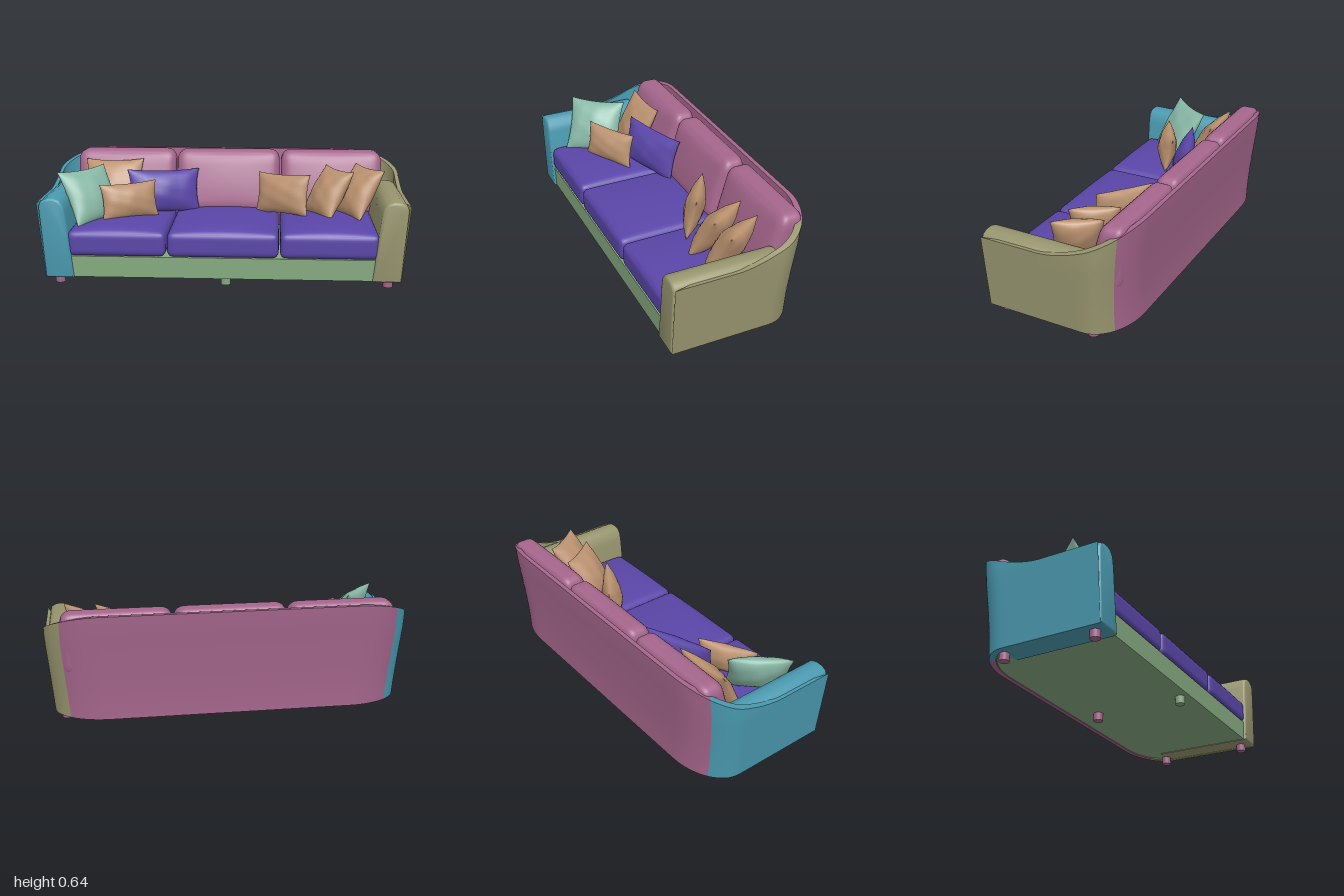
import * as THREE from 'three';
import { mergeGeometries, mergeVertices, toCreasedNormals } from 'three/addons/utils/BufferGeometryUtils.js';

const { clamp, lerp } = THREE.MathUtils;
const PINK = 0xa5668c, PURPLE = 0x5a46a8, GREEN = 0x85a97f, BLUE = 0x4a9ab0;
const OLIVE = 0x98966f, TAN = 0xbb9270, TEAL = 0x88b8a5;

function part(group, name, geometry, color, doubleSided = false) {
  const material = new THREE.MeshStandardMaterial({ color });
  if (doubleSided) material.side = THREE.DoubleSide;
  const mesh = new THREE.Mesh(geometry, material);
  mesh.name = name;
  group.add(mesh);
  return mesh;
}

// Weld a geometry and give it smooth normals
function smooth(geometry) {
  geometry.deleteAttribute('uv');
  geometry.deleteAttribute('normal');
  const welded = mergeVertices(geometry, 1e-5);
  welded.computeVertexNormals();
  return welded;
}

function warp(geometry, rule) {
  const p = geometry.attributes.position, v = new THREE.Vector3();
  for (let i = 0; i < p.count; i++) {
    rule(v.fromBufferAttribute(p, i));
    p.setXYZ(i, v.x, v.y, v.z);
  }
  return geometry;
}

// Box with rounded edges; "bulge" then receives the point and its -1..1 coordinates
function softBox(w, h, d, r, bulge) {
  const half = new THREE.Vector3(w, h, d).multiplyScalar(0.5);
  const inner = half.clone().subScalar(r), q = new THREE.Vector3(), n = new THREE.Vector3();
  return smooth(warp(new THREE.BoxGeometry(2, 2, 2, 24, 16, 16), (v) => {
    n.set(...v.toArray().map((t) => Math.sin(t * Math.PI / 2)));
    v.copy(n).multiply(half);
    q.copy(v).clamp(inner.clone().negate(), inner);
    v.sub(q).setLength(r).add(q);
    bulge(v, n);
  }));
}

// Throw pillow: two domed faces, pinched sides and pointed corners
function pillowGeometry(w, h, t) {
  const face = (side) => warp(new THREE.PlaneGeometry(2, 2, 20, 20), (v) => {
    const a = Math.sin(v.x * Math.PI / 2), b = Math.sin(v.y * Math.PI / 2);
    const dome = Math.pow(Math.max(0, (1 - a * a) * (1 - b * b)), 0.55);
    const crease = 1 + 0.07 * Math.sin(7 * a + 4 * b) * Math.sin(5 * b - 2 * a);
    v.set(a * w / 2 * (1 - 0.09 * (1 - b * b)), b * h / 2 * (1 - 0.09 * (1 - a * a)), side * t / 2 * dome * crease);
  });
  const front = face(1), back = face(-1);
  const index = back.index.array;
  for (let i = 0; i < index.length; i += 3) [index[i], index[i + 1]] = [index[i + 1], index[i]];
  return smooth(mergeGeometries([front, back]));
}

// U-shaped plan: u = -1 right front, 0 centre of the back, 1 left front
function plan(u, W, B) {
  const s = 1 - Math.abs(u), side = u < 0 ? -1 : 1;
  if (s < 0.4) return [side * W, lerp(0.395, B + 0.2, s / 0.4)];
  if (s < 0.8) {
    const a = (s - 0.4) / 0.4 * Math.PI / 2;
    return [side * (W - 0.3 + 0.3 * Math.cos(a)), B + 0.2 - 0.2 * Math.sin(a)];
  }
  return [side * lerp(W - 0.3, 0, (s - 0.8) / 0.2), B];
}

function shellPoint(u, v, inset) {
  const rise = clamp((0.05 - plan(u, 1, -0.4)[1]) / 0.45, 0, 1);
  const y = lerp(0.04, 0.46 + 0.172 * Math.pow(rise, 1.7), v);
  const W = 0.965 + 0.035 * clamp((y - 0.04) / 0.42, 0, 1) - inset;
  const B = -0.36 - 0.04 * Math.pow(clamp((y - 0.12) / 0.48, 0, 1), 1.4) + inset;
  const [x, z] = plan(u, W, B);
  return [x, y, z];
}

// Thin wall swept along part of the U, tapering to an edge at the front
function shellGeometry(u0, u1, steps) {
  const rows = 10, ring = 2 * (rows + 1), pos = [], idx = [];
  for (let i = 0; i <= steps; i++) {
    const u = lerp(u0, u1, i / steps);
    const thick = 0.025 * Math.min(1, (1 - Math.abs(u)) * 12);
    for (let j = 0; j <= rows; j++) pos.push(...shellPoint(u, j / rows, 0));
    for (let j = rows; j >= 0; j--) pos.push(...shellPoint(u, j / rows, thick));
  }
  for (let i = 0; i < steps; i++) for (let j = 0; j < ring; j++) {
    const a = i * ring + j, b = i * ring + (j + 1) % ring;
    idx.push(a, b, a + ring, b, b + ring, a + ring);
  }
  const g = new THREE.BufferGeometry();
  g.setAttribute('position', new THREE.Float32BufferAttribute(pos, 3));
  g.setIndex(idx);
  return toCreasedNormals(g, 0.7);
}

export function createModel() {
  const sofa = new THREE.Group();
  sofa.name = 'sofa';

  // Outer shell: two sides and the back
  part(sofa, 'rightShell', shellGeometry(-1, -0.4, 36), BLUE, true);
  part(sofa, 'backShell', shellGeometry(-0.4, 0.4, 40), PINK, true);
  part(sofa, 'leftShell', shellGeometry(0.4, 1, 36), OLIVE, true);

  // Padded arms, narrowing upwards
  const armProfile = [[0.963, 0.042], [0.81, 0.042], [0.832, 0.25], [0.848, 0.41], [0.858, 0.45],
    [0.878, 0.475], [0.91, 0.485], [0.95, 0.482], [0.977, 0.468], [0.99, 0.44]];
  for (const side of [-1, 1]) {
    const shape = new THREE.Shape(armProfile.map(([x, y]) => new THREE.Vector2(side * x, y)));
    const g = new THREE.ExtrudeGeometry(shape, {
      depth: 0.56, bevelThickness: 0.016, bevelSize: 0.012, bevelOffset: -0.012, bevelSegments: 3,
    });
    g.translate(0, 0, -0.176);
    part(sofa, side < 0 ? 'rightArm' : 'leftArm', toCreasedNormals(g, 0.8), side < 0 ? BLUE : OLIVE);
  }

  // Base following the plan of the shell
  const outline = [];
  for (let i = 0; i <= 60; i++) {
    const [x, z] = plan(i / 30 - 1, 0.935, -0.335);
    outline.push(new THREE.Vector2(x, -Math.min(z, 0.385)));
  }
  const base = new THREE.ExtrudeGeometry(new THREE.Shape(outline), { depth: 0.117, bevelEnabled: false });
  base.rotateX(-Math.PI / 2).translate(0, 0.045, 0);
  part(sofa, 'base', toCreasedNormals(base, 0.6), GREEN);

  // Legs
  for (const z of [0.33, -0.19]) for (const x of [-0.9, 0.017, 0.9]) {
    const color = x === 0.017 && z > 0 ? GREEN : PINK;
    part(sofa, 'leg', new THREE.CylinderGeometry(0.027, 0.027, 0.05, 20), color).position.set(x, 0.025, z);
  }

  // Seat cushions with crowned tops
  const seatEdges = [-0.85, -0.305, 0.308, 0.85];
  // Back cushions, leaning back and thinner at the top
  const backEdges = [-0.9, -0.307, 0.312, 0.912];
  for (let i = 0; i < 3; i++) {
    const sw = seatEdges[i + 1] - seatEdges[i], bw = backEdges[i + 1] - backEdges[i];
    const seat = softBox(sw - 0.006, 0.14, 0.62, 0.035, (v, n) => {
      if (v.y > 0) v.y += 0.03 * (1 - n.x * n.x) * (1 - Math.pow(n.z, 4));
    });
    part(sofa, 'seatCushion', seat, PURPLE).position.set((seatEdges[i] + seatEdges[i + 1]) / 2, 0.23, 0.08);
    const back = softBox(bw - 0.008, 0.36, 0.2, 0.06, (v, n) => {
      const t = v.y / 0.36 + 0.5;
      if (v.z > 0) v.z += 0.02 * (1 - n.x * n.x) * (1 - n.y * n.y);
      v.z = v.z * (1.02 - 0.37 * t) - 0.235 - 0.065 * t;
    });
    part(sofa, 'backCushion', back, PINK).position.set((backEdges[i] + backEdges[i + 1]) / 2, 0.458, 0);
  }

  // Throw pillows: colour, centre, width direction, height direction, size
  const pillows = [
    [TEAL, [-0.755, 0.445, 0.125], [0.2, 0, -0.25], [-0.12, 0.27, -0.1], 0.34, 0.33, 0.13],
    [TAN, [-0.665, 0.45, -0.115], [1, 0, -0.03], [0, 0.29, -0.15], 0.34, 0.33, 0.12],
    [PURPLE, [-0.365, 0.425, -0.085], [0.4, -0.015, -0.14], [0, 0.25, -0.07], 0.43, 0.26, 0.12],
    [TAN, [-0.54, 0.41, 0.11], [0.3, 0, -0.17], [0, 0.2, -0.05], 0.34, 0.21, 0.11],
    [TAN, [0.325, 0.425, -0.04], [0.3, 0.02, 0.19], [0, 0.23, -0.06], 0.35, 0.24, 0.11],
    [TAN, [0.585, 0.44, -0.025], [0.13, 0, 0.21], [0.09, 0.26, -0.15], 0.27, 0.31, 0.14],
    [TAN, [0.755, 0.447, -0.025], [0.13, 0, 0.21], [0.09, 0.26, -0.15], 0.27, 0.32, 0.14],
  ];
  for (const [color, centre, across, up, w, h, t] of pillows) {
    const x = new THREE.Vector3(...across).normalize();
    const z = x.clone().cross(new THREE.Vector3(...up)).normalize();
    const mesh = part(sofa, 'throwPillow', pillowGeometry(w, h, t), color);
    mesh.quaternion.setFromRotationMatrix(new THREE.Matrix4().makeBasis(x, z.clone().cross(x), z));
    mesh.position.set(...centre);
  }
  return sofa;
}
